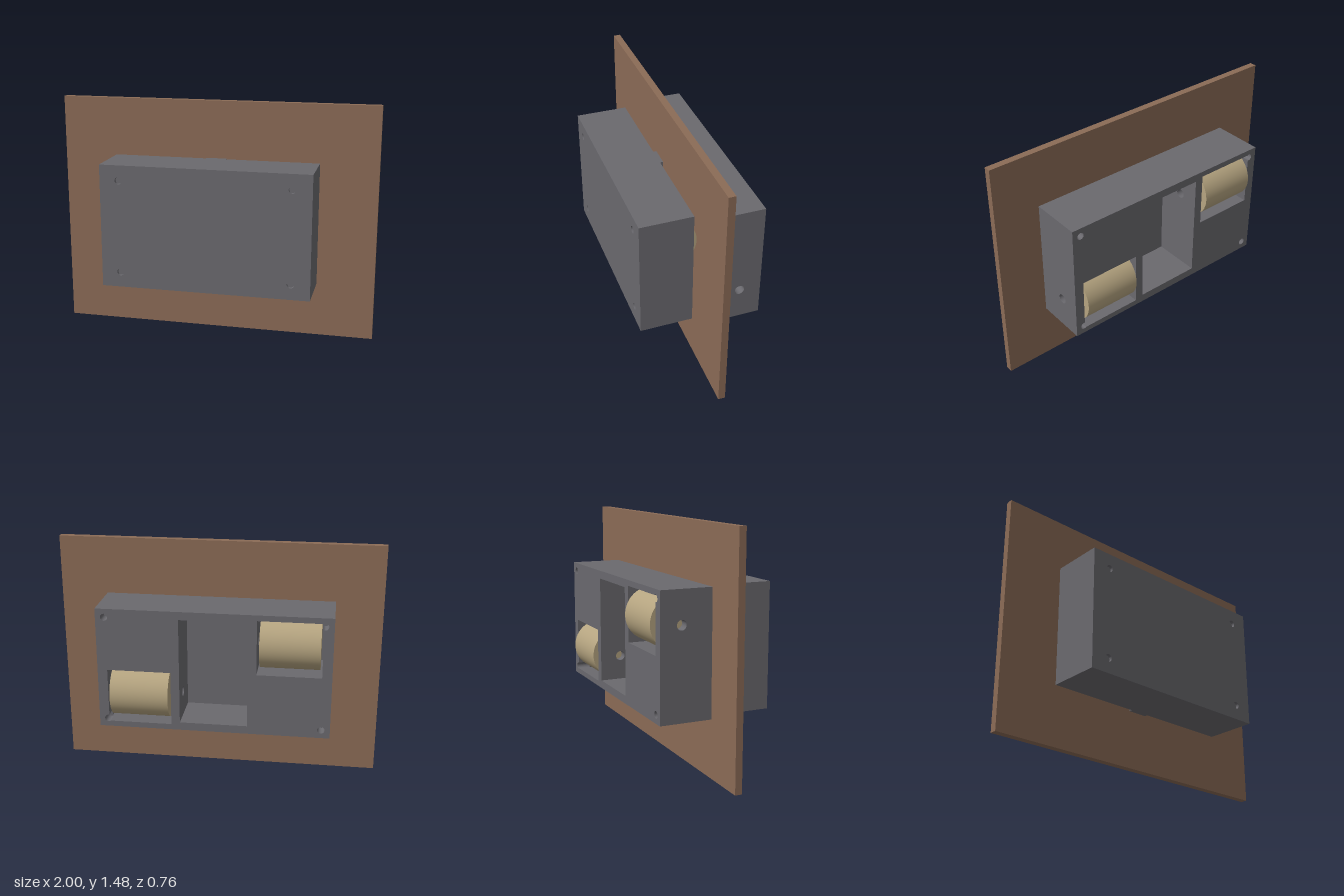
import * as THREE from 'three';

const CY = 0.7375;          // height of the housings' centre line
const HY = 0.3825;          // half height of the housings
const ROLLER_Y = 0.18, ROLLER_R = 0.16;

const board = new THREE.MeshStandardMaterial({ color: 0x8b6b56 });
board.name = 'brown board';
const grey = new THREE.MeshStandardMaterial({ color: 0x6a696e });
grey.name = 'grey housing';
const tan = new THREE.MeshStandardMaterial({ color: 0xb5a480 });
tan.name = 'tan roller';

function add(parent, name, geometry, material) {
  const mesh = new THREE.Mesh(geometry, material);
  mesh.name = name;
  parent.add(mesh);
  return mesh;
}

// Box given by its limits on each axis
function block(parent, name, [x0, x1], [y0, y1], [z0, z1], material = grey) {
  const g = new THREE.BoxGeometry(x1 - x0, y1 - y0, z1 - z0);
  g.translate((x0 + x1) / 2, (y0 + y1) / 2, (z0 + z1) / 2);
  return add(parent, name, g, material);
}

function rect(x0, x1, y0, y1, Type = THREE.Shape) {
  return new Type([[x0, y0], [x1, y0], [x1, y1], [x0, y1]].map(p => new THREE.Vector2(...p)));
}

function circle(x, y, r) {
  return new THREE.Path().absarc(x, y, r, 0, Math.PI * 2, false);
}

function extrude(shape, depth) {
  return new THREE.ExtrudeGeometry(shape, { depth, bevelEnabled: false, curveSegments: 24 });
}

// Plate in the xy plane with openings
function plate(parent, name, halfWidth, z0, z1, holes) {
  const shape = rect(-halfWidth, halfWidth, -HY, HY);
  shape.holes.push(...holes);
  return add(parent, name, extrude(shape, z1 - z0).translate(0, 0, z0), grey);
}

// Upright wall with a round axle hole running along x
function axleWall(parent, name, x0, x1, z0, z1, holeY, holeZ) {
  const shape = rect(-z1, -z0, -HY, HY);
  shape.holes.push(circle(-holeZ, holeY, 0.03));
  add(parent, name, extrude(shape, x1 - x0).rotateY(Math.PI / 2).translate(x0, 0, 0), grey);
}

function roller(parent, x0, x1, y, z) {
  const g = new THREE.CylinderGeometry(ROLLER_R, ROLLER_R, x1 - x0, 64).rotateZ(Math.PI / 2);
  add(parent, 'roller', g.translate((x0 + x1) / 2, y, z), tan);
}

// Two halves, the second turned half a revolution about z
function bothHalves(parent, build) {
  for (const [name, turn] of [['leftHalf', 0], ['rightHalf', Math.PI]]) {
    const half = new THREE.Group();
    half.name = name;
    half.rotation.z = turn;
    build(half);
    parent.add(half);
  }
}

// Pocket opening whose outer corner is notched by a screw hole; s = -1 turns it half round
function notchedPocket(s, x0, x1, y0, y1, hx, hy, r) {
  const turn = s < 0 ? Math.PI : 0;
  const dx = Math.sqrt(r * r - (y0 - hy) ** 2), dy = Math.sqrt(r * r - (x1 - hx) ** 2);
  const path = new THREE.Path();
  path.moveTo(s * x0, s * y0);
  path.lineTo(s * (hx - dx), s * y0);
  path.absarc(s * hx, s * hy, r, Math.atan2(y0 - hy, -dx) + turn, Math.atan2(dy, x1 - hx) + turn, false);
  path.lineTo(s * x1, s * y1);
  path.lineTo(s * x0, s * y1);
  path.closePath();
  return path;
}

function backHousing() {
  const g = new THREE.Group();
  g.name = 'backHousing';
  const W = 0.71, P0 = 0.26, P1 = 0.65, B = -0.3475, T = -0.0075;   // half width, pocket limits
  const C = 0.207, CH = 0.3325;                                     // central bay half size
  const zBack = -0.35, zLip = -0.27, zFloor = -0.05, zFront = -0.028;
  const sx = 0.656, sy = 0.33, sr = 0.022;

  // Outer face with pockets, bay and corner screw holes
  plate(g, 'backFace', W, zBack, zLip, [
    notchedPocket(1, P0, P1, B, T, sx, -sy, sr),
    notchedPocket(-1, P0, P1, B, T, sx, -sy, sr),
    rect(-C, C, -CH, CH, THREE.Path),
    circle(sx, sy, sr), circle(-sx, -sy, sr),
  ]);
  // Walls around the pockets and the bay
  const mid = [zLip, zFloor];
  bothHalves(g, half => {
    axleWall(half, 'outerWall', P1, W, ...mid, -ROLLER_Y, -0.217);
    axleWall(half, 'innerWall', C, P0, ...mid, -ROLLER_Y, -0.217);
    block(half, 'pocketSill', [P0, P1], [-HY, B], mid);
    block(half, 'pocketHead', [P0, P1], [T, HY], mid);
    block(half, 'bayRail', [-C, C], [-HY, -CH], mid);
    roller(half, 0.276, 0.637, -ROLLER_Y, -0.217);
  });
  block(g, 'housingFloor', [-W, W], [-HY, HY], [zFloor, zFront]);
  return g;
}

function frontHousing() {
  const g = new THREE.Group();
  g.name = 'frontHousing';
  const W = 0.645, zBack = 0.055, zFloor = 0.35, zFront = 0.38;
  const pocket = s => rect(s * 0.072, s * 0.615, s * 0.01, s * 0.35, THREE.Path);
  plate(g, 'pocketBlock', W, zBack, zFloor, [pocket(1), pocket(-1)]);
  block(g, 'pocketFloor', [-W, W], [-HY, HY], [zFloor, 0.36]);
  // Front cover with four blind screw holes
  const screws = [];
  for (const x of [-0.527, 0.527]) for (const y of [-0.288, 0.288]) screws.push(circle(x, y, 0.022));
  plate(g, 'frontFace', W, 0.36, zFront, screws);
  // Raised rib between the rollers
  block(g, 'centreRib', [-0.064, 0.064], [-HY, HY], [0.035, zBack]);
  bothHalves(g, half => roller(half, 0.086, 0.602, ROLLER_Y, 0.181));
  return g;
}

export function createModel() {
  const model = new THREE.Group();
  model.name = 'rollerUnit';
  block(model, 'board', [-1, 1], [0, 1.475], [-0.028, 0.015], board);
  for (const housing of [backHousing(), frontHousing()]) {
    housing.position.y = CY;
    model.add(housing);
  }
  return model;
}
